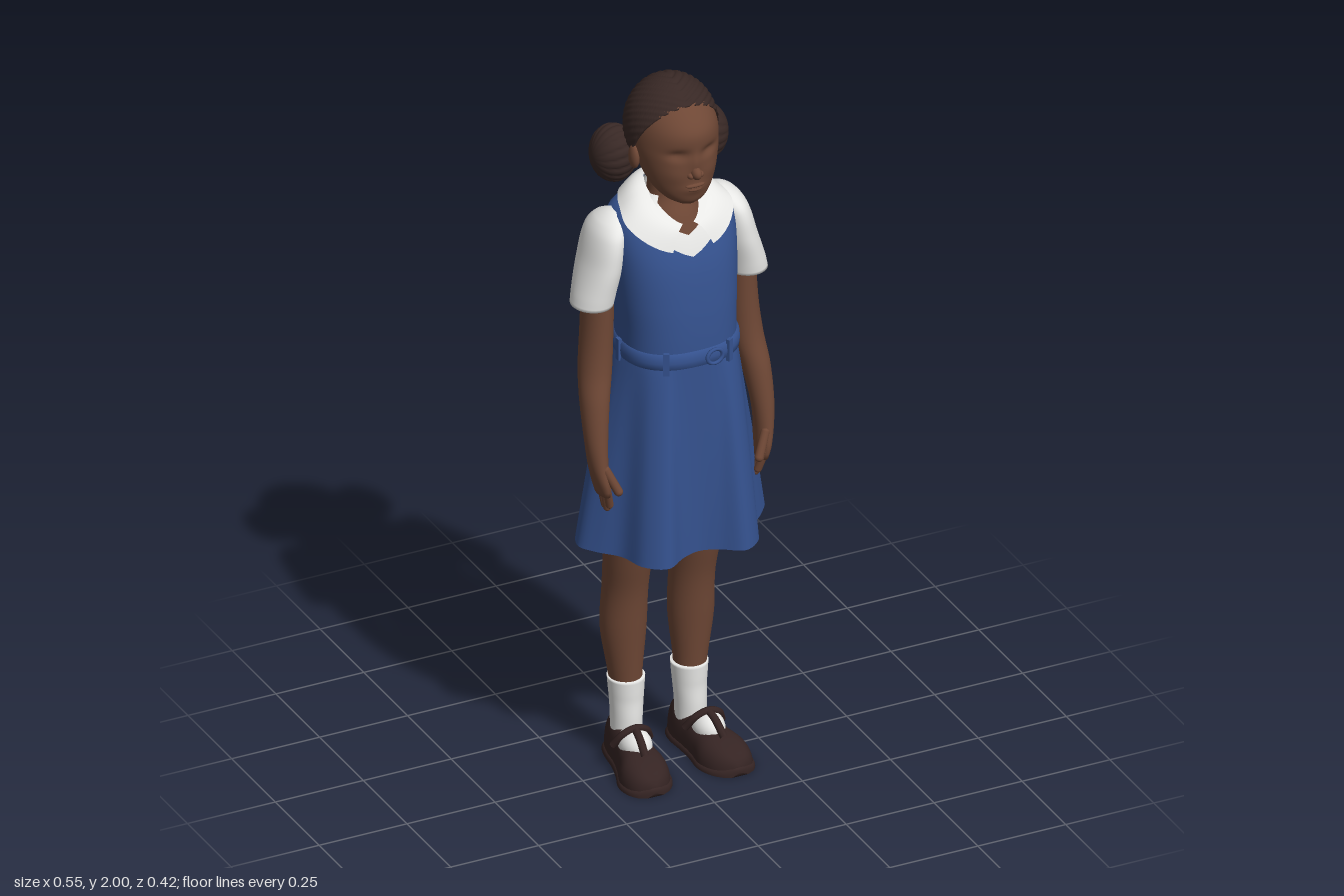
import * as THREE from 'three';
import { mergeGeometries } from 'three/addons/utils/BufferGeometryUtils.js';

const { sin, cos, abs, sign, pow, min, max, PI } = Math;
const V = (x, y, z) => new THREE.Vector3(x, y, z);
const spow = (a, e) => sign(a) * pow(abs(a), e);

// Surface from a rule fn(u, v); u wraps around when closed, v runs upward
function grid(nu, nv, fn, closed = true) {
  const pos = [], idx = [], cols = closed ? nu : nu + 1;
  for (let j = 0; j <= nv; j++)
    for (let i = 0; i < cols; i++) pos.push(...fn(i / nu, j / nv, j).toArray());
  for (let j = 0; j < nv; j++)
    for (let i = 0; i < nu; i++) {
      const k = (i + 1) % cols, a = j * cols + i, b = j * cols + k;
      idx.push(a, b, b + cols, a, b + cols, a + cols);
    }
  const g = new THREE.BufferGeometry();
  g.setAttribute('position', new THREE.Float32BufferAttribute(pos, 3));
  g.setIndex(idx);
  g.computeVertexNormals();
  return g;
}

// Smooth interpolation of section rows by their first column
function at(rows, y) {
  const n = rows.length;
  let i = 0;
  while (i < n - 2 && y > rows[i + 1][0]) i++;
  const slope = (k, c) => {
    const a = rows[max(k - 1, 0)], b = rows[min(k + 1, n - 1)];
    return (b[c] - a[c]) / (b[0] - a[0]);
  };
  const p = rows[i], q = rows[i + 1], h = q[0] - p[0], t = min(1, max(0, (y - p[0]) / h));
  return p.map((_, c) => (2 * t ** 3 - 3 * t * t + 1) * p[c] + (t ** 3 - 2 * t * t + t) * h * slope(i, c)
    + (3 * t * t - 2 * t ** 3) * q[c] + (t ** 3 - t * t) * h * slope(i + 1, c));
}

// Upright loft with closed ends; rows are [y, centre x, centre z, radius x, radius z]
function loft(rows, nu = 28, nv = 28) {
  const y0 = rows[0][0], y1 = rows[rows.length - 1][0];
  return grid(nu, nv, (u, v, j) => {
    const t = min(1, max(0, (j - 1) / (nv - 2)));
    const [, cx, cz, rx, rz] = at(rows, y0 + (y1 - y0) * t);
    const k = j === 0 || j === nv ? 0 : 1, a = u * 2 * PI;
    return V(cx + k * rx * sin(a), y0 + (y1 - y0) * t, cz + k * rz * cos(a));
  });
}

// Shoe shape lofted along z; rows are [z, centre x, half width, height]
function shoeLoft(rows) {
  const z0 = rows[0][0], z1 = rows[rows.length - 1][0], nv = 30;
  return grid(32, nv, (u, v, j) => {
    const t = min(1, max(0, (j - 1) / (nv - 2))), z = z0 + (z1 - z0) * t;
    const [, cx, rx, h] = at(rows, z), a = u * 2 * PI, k = j === 0 || j === nv ? 0 : 1;
    return V(cx + k * rx * spow(cos(a), 0.7), max(0, h * (k ? spow(sin(a), 0.8) : 0.4)), z);
  });
}

function ball(x, y, z, rx, ry, rz) {
  return new THREE.SphereGeometry(1, 24, 18).scale(rx, ry, rz).translate(x, y, z);
}

function capsule(a, b, r) {
  const d = b.clone().sub(a);
  const q = new THREE.Quaternion().setFromUnitVectors(V(0, 1, 0), d.clone().normalize());
  const m = a.clone().add(b).multiplyScalar(0.5);
  return new THREE.CapsuleGeometry(r, d.length(), 5, 12).applyQuaternion(q).translate(m.x, m.y, m.z);
}

const tube = (pts, r) => new THREE.TubeGeometry(new THREE.CatmullRomCurve3(pts), 20, r, 8);

function mirrored(geo) {
  const g = geo.clone().scale(-1, 1, 1), ix = g.index;
  for (let i = 0; i < ix.count; i += 3) {
    const t = ix.getX(i);
    ix.setX(i, ix.getX(i + 1));
    ix.setX(i + 1, t);
  }
  return g;
}

// Torso rows: [y, half width, front z, back z]
const TORSO = [
  [1.23, 0.15, 0.16, -0.105], [1.32, 0.152, 0.158, -0.112], [1.4, 0.158, 0.152, -0.122],
  [1.5, 0.165, 0.137, -0.13], [1.57, 0.167, 0.115, -0.128], [1.62, 0.158, 0.09, -0.12],
  [1.645, 0.13, 0.072, -0.11], [1.665, 0.09, 0.052, -0.1], [1.685, 0.06, 0.04, -0.085],
];
function torso(a, y, off) {
  const [, rx, zf, zb] = at(TORSO, y);
  return V((rx + off) * spow(sin(a), 0.8), y, (zf + zb) / 2 + ((zf - zb) / 2 + off) * spow(cos(a), 0.85));
}
// Torso layer whose top edge dips to a V at the front
function torsoLayer(y0, front, top, spread, off) {
  return grid(72, 36, (u, v) => {
    const a = u * 2 * PI, k = min(1, min(a, 2 * PI - a) / spread);
    return torso(a, y0 + (front + (top - front) * k - y0) * v, off);
  });
}

export function createModel() {
  const model = new THREE.Group();
  const mat = (name, color, side = THREE.FrontSide) =>
    Object.assign(new THREE.MeshStandardMaterial({ color, side }), { name });
  const skin = mat('brown skin', 0x6e4735), hair = mat('dark hair', 0x382825, THREE.DoubleSide);
  const blue = mat('blue cloth', 0x35528f, THREE.DoubleSide);
  const white = mat('white cotton', 0xe9e9e7, THREE.DoubleSide), leather = mat('dark leather', 0x352423);
  const add = (name, geo, m) => {
    const mesh = new THREE.Mesh(geo, m);
    mesh.name = name;
    model.add(mesh);
  };
  const pair = (name, geo, m) => {
    add('left ' + name, geo, m);
    add('right ' + name, mirrored(geo), m);
  };

  // Head, with hollows for the eyes and a fuller mouth
  const head = loft([
    [1.685, 0, 0.08, 0.03, 0.036], [1.7, 0, 0.07, 0.055, 0.061], [1.73, 0, 0.055, 0.08, 0.083],
    [1.78, 0, 0.032, 0.1, 0.11], [1.84, 0, 0.0175, 0.111, 0.1265], [1.9, 0, 0.0125, 0.104, 0.131],
    [1.95, 0, 0.007, 0.08, 0.094], [1.98, 0, 0, 0.04, 0.05]], 72, 64);
  const hp = head.attributes.position;
  for (let i = 0; i < hp.count; i++) {
    const x = hp.getX(i), y = hp.getY(i), z = hp.getZ(i);
    if (z < 0.05) continue;
    const bump = (bx, by, sx, sy) => Math.exp(-(((abs(x) - bx) / sx) ** 2) - ((y - by) / sy) ** 2);
    hp.setZ(i, z - 0.011 * bump(0.044, 1.84, 0.024, 0.014) + 0.006 * bump(0, 1.738, 0.03, 0.014)
      + 0.006 * bump(0, 1.815, 0.012, 0.03) + 0.004 * bump(0.055, 1.78, 0.03, 0.025));
  }
  head.computeVertexNormals();
  add('head', head, skin);
  add('nose', mergeGeometries([ball(0, 1.787, 0.144, 0.014, 0.017, 0.021),
    ball(0.013, 1.781, 0.14, 0.01, 0.009, 0.012), ball(-0.013, 1.781, 0.14, 0.01, 0.009, 0.012)]), skin);
  add('lips', mergeGeometries([ball(0, 1.75, 0.139, 0.027, 0.006, 0.009),
    ball(0, 1.738, 0.136, 0.022, 0.007, 0.01)]), skin);
  pair('ear', ball(0.112, 1.8, 0.015, 0.013, 0.034, 0.021), skin);
  add('neck', loft([[1.56, 0, 0, 0.1, 0.09], [1.62, 0, -0.008, 0.075, 0.075],
    [1.67, 0, -0.015, 0.055, 0.058], [1.76, 0, -0.02, 0.053, 0.056]]), skin);

  // Braided hair cap, its rim tucked in toward the scalp
  const n = V(0, -0.54, 0.84), e2 = V(0, 0.84, 0.54), rows = 80;
  add('braided hair', grid(128, rows, (u, v, j) => {
    const th = PI + (1.32 - PI) * min(1, j / (rows - 1)), p = u * 2 * PI;
    const d = n.clone().multiplyScalar(cos(th)).addScaledVector(e2, sin(th) * sin(p));
    d.x = sin(th) * cos(p);
    d.set(d.x * 0.122, d.y * 0.14, d.z * 0.13);
    const groove = 1 - abs(sin((d.z + abs(d.x) - 1.5 * d.y) * PI / 0.034));
    return d.multiplyScalar(j === rows ? 0.9 : 1 - 0.03 * groove ** 2).add(V(0, 1.86, 0));
  }), hair);
  // Side buns with wound strands
  pair('hair bun', grid(112, 32, (u, v) => {
    const a = u * 2 * PI, b = (v - 0.5) * PI;
    const k = 1 - 0.07 * (1 - abs(sin(a * 9 + b * 1.2))) ** 2 * cos(b);
    return V(0.129 + 0.062 * sin(b), 1.773 + 0.079 * k * cos(b) * sin(a + PI / 2),
      -0.07 + 0.067 * k * cos(b) * cos(a + PI / 2));
  }), hair);

  // Blouse, collar and sleeves
  add('blouse', torsoLayer(1.3, 1.585, 1.675, 0.7, -0.006), white);
  add('collar', grid(60, 8, (u, v) => {
    const a = 0.24 + u * (2 * PI - 0.48), f = (1 + cos(a)) / 2, c = cos(a);
    const outer = torso(a, 1.654 - 0.1 * f ** 4, 0.013);
    const inner = V(0.062 * sin(a), 1.702 - 0.085 * f * f, -0.01 + (c > 0 ? 0.112 : 0.075) * c);
    return outer.lerp(inner, v).add(V(0, 0.012 * sin(PI * v), 0));
  }, false), white);
  pair('sleeve', loft([[1.387, 0.219, -0.012, 0.055, 0.062], [1.42, 0.212, -0.015, 0.055, 0.069],
    [1.5, 0.191, -0.023, 0.052, 0.084], [1.58, 0.174, -0.026, 0.045, 0.08],
    [1.615, 0.16, -0.028, 0.035, 0.055], [1.632, 0.15, -0.03, 0.015, 0.02]], 36, 32), white);

  // Pinafore bodice
  add('bodice', torsoLayer(1.23, 1.535, 1.664, 1.05, 0.002), blue);
  // Skirt, from the waist out to a wavy hem
  const half = [[0.05, 0.175], [0.11, 0.21], [0.163, 0.175], [0.19, 0.1], [0.235, 0.05], [0.264, 0],
    [0.235, -0.07], [0.19, -0.125], [0.145, -0.185], [0.09, -0.21]];
  const hem = new THREE.CatmullRomCurve3([[0, 0.16], ...half, [0, -0.175],
    ...half.slice().reverse().map(([x, z]) => [-x, z])].map(([x, z]) => V(x, 0.69, z)), true);
  add('skirt', grid(120, 30, (u, v) => {
    const low = hem.getPointAt(u), t = 1 - v;
    const p = torso(Math.atan2(low.x, low.z - 0.01), 1.25, 0.002);
    const k = pow(t, 0.8);
    return V(p.x + (low.x - p.x) * k, 1.25 - 0.56 * t, p.z + (low.z - p.z) * k);
  }), blue);
  // Belt with loops and buckle
  const beltRows = [[1.232, 0], [1.236, 0.009], [1.254, 0.011], [1.274, 0.009], [1.279, 0]];
  add('belt', grid(72, 4, (u, v, j) => torso(u * 2 * PI, ...beltRows[j])), blue);
  [0.5, 1.57, 2.6, -2.6, -1.57, -0.5].forEach(a => {
    const p = torso(a, 1.255, 0.011);
    add('belt loop', new THREE.BoxGeometry(0.016, 0.062, 0.01).rotateY(a).translate(p.x, p.y, p.z), blue);
  });
  const bp = torso(0.18, 1.255, 0.013);
  add('belt buckle', new THREE.TorusGeometry(0.02, 0.005, 8, 24).scale(1.15, 1, 1)
    .rotateY(0.12).translate(bp.x, bp.y, bp.z), blue);

  // Arms and hands
  pair('arm', loft([[0.868, 0.224, 0.06, 0.015, 0.036], [0.9, 0.229, 0.06, 0.019, 0.041],
    [0.95, 0.235, 0.056, 0.024, 0.037], [1.02, 0.236, 0.047, 0.03, 0.036], [1.12, 0.228, 0.022, 0.038, 0.044],
    [1.2, 0.215, -0.002, 0.043, 0.049], [1.3, 0.206, -0.012, 0.042, 0.051],
    [1.45, 0.2, -0.014, 0.04, 0.052]], 28, 40), skin);
  const fingers = [[0.03, 0.036, 0.842], [0.05, 0.048, 0.824], [0.07, 0.061, 0.822], [0.088, 0.074, 0.835]]
    .map(([z, tip, y]) => capsule(V(0.225, 0.89, z), V(0.211, y, tip), 0.0105));
  pair('fingers', mergeGeometries(fingers), skin);
  pair('thumb', capsule(V(0.227, 0.945, 0.084), V(0.2, 0.885, 0.103), 0.012), skin);

  // Legs
  add('hips', ball(0, 0.95, -0.015, 0.155, 0.12, 0.11), skin);
  pair('leg', loft([[0.2, 0.09, -0.075, 0.04, 0.042], [0.26, 0.093, -0.077, 0.046, 0.048],
    [0.38, 0.096, -0.08, 0.06, 0.061], [0.5, 0.095, -0.071, 0.059, 0.064], [0.6, 0.097, -0.052, 0.063, 0.068],
    [0.7, 0.097, -0.038, 0.068, 0.075], [0.9, 0.09, -0.025, 0.076, 0.095]], 32, 36), skin);
  pair('sock', loft([[0.04, 0.092, -0.072, 0.04, 0.045], [0.12, 0.091, -0.072, 0.041, 0.047],
    [0.17, 0.09, -0.074, 0.044, 0.047], [0.195, 0.09, -0.075, 0.046, 0.049],
    [0.235, 0.09, -0.076, 0.049, 0.051]]), white);
  pair('sock instep', ball(0.104, 0.074, 0.004, 0.042, 0.043, 0.056), white);

  // Shoes with a T-strap
  const last = [[-0.14, 0.09, 0.022, 0.07], [-0.13, 0.09, 0.036, 0.1], [-0.09, 0.092, 0.047, 0.115],
    [-0.03, 0.098, 0.05, 0.1], [0.02, 0.105, 0.057, 0.085], [0.07, 0.112, 0.068, 0.076],
    [0.115, 0.117, 0.059, 0.062], [0.143, 0.12, 0.038, 0.046], [0.153, 0.12, 0.018, 0.032]];
  pair('shoe', shoeLoft(last), leather);
  pair('shoe sole', shoeLoft(last.map(([z, cx, w]) => [z * 1.02, cx, w + 0.005, 0.024])), leather);
  pair('shoe strap', mergeGeometries([
    tube([V(0.05, 0.07, -0.02), V(0.071, 0.106, 0), V(0.104, 0.12, 0.006), V(0.136, 0.106, 0),
      V(0.155, 0.07, -0.02)], 0.01),
    tube([V(0.104, 0.118, 0.005), V(0.108, 0.106, 0.04), V(0.112, 0.076, 0.08)], 0.011)]), leather);

  return model;
}
